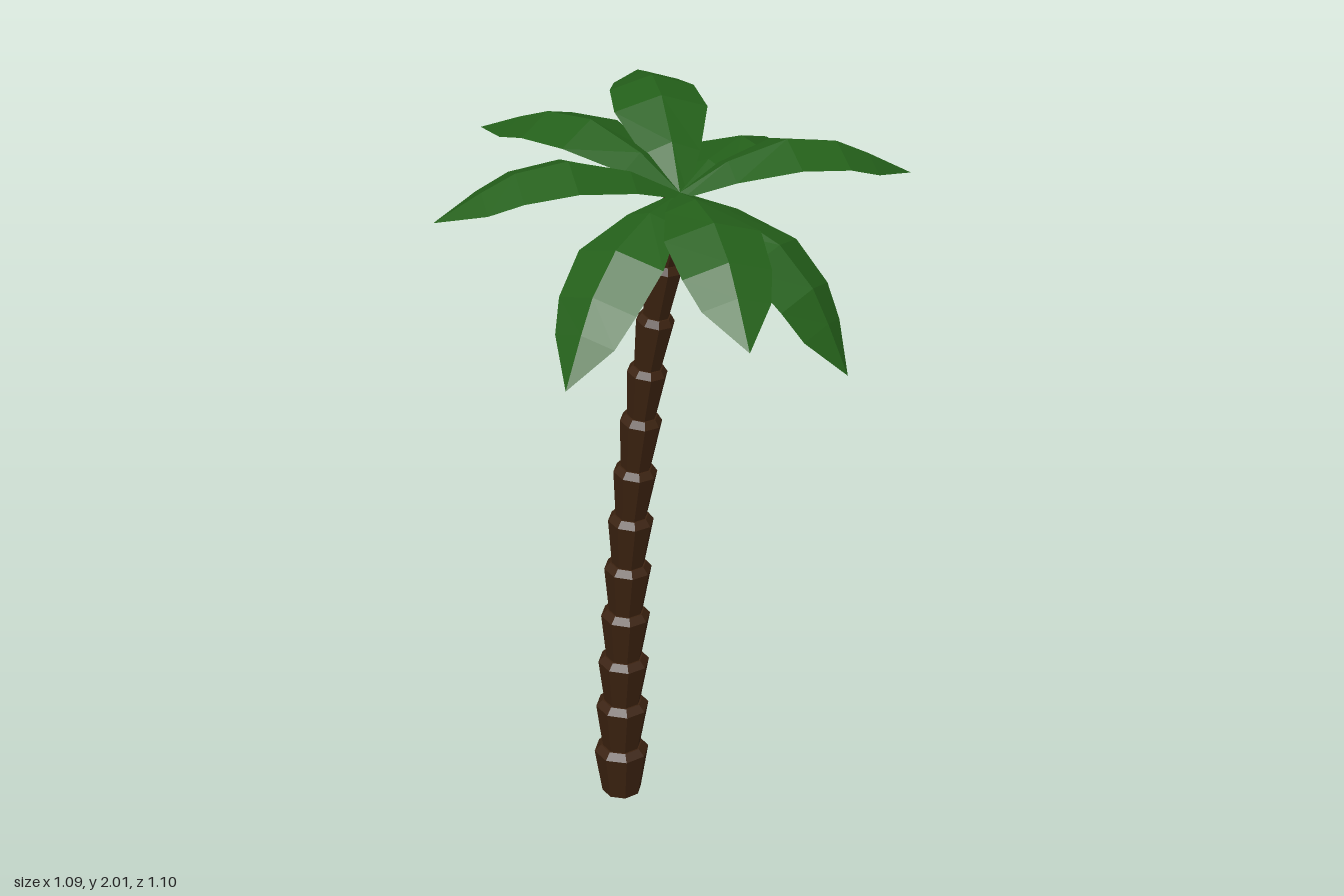
import * as THREE from 'three';

const bark = new THREE.MeshStandardMaterial({ color: 0x3b2210, flatShading: true });
const leaf = new THREE.MeshStandardMaterial({ color: 0x24601a, flatShading: true, side: THREE.DoubleSide });

// Centre line of the leaning trunk: x, y at each joint
const joints = [
  [-0.145, 0], [-0.144, 0.15], [-0.139, 0.3], [-0.133, 0.445], [-0.125, 0.595],
  [-0.116, 0.745], [-0.105, 0.895], [-0.089, 1.045], [-0.07, 1.2], [-0.05, 1.345],
  [-0.024, 1.495], [0.003, 1.645], [0.042, 1.82],
];
const TRUNK_Z = 0.032;

// One flared, eight-sided bark ring between two joints
function trunkRing(i) {
  const from = new THREE.Vector3(...joints[i], TRUNK_Z);
  const dir = new THREE.Vector3(...joints[i + 1], TRUNK_Z).sub(from);
  const h = dir.length();
  const r = 0.076 - 0.0029 * i;
  const profile = [[0, 0], [r * 0.72, 0], [r, h * 0.9], [r * 0.76, h * 1.02], [0, h * 1.02]];
  const ring = new THREE.Mesh(
    new THREE.LatheGeometry(profile.map(([x, y]) => new THREE.Vector2(x, y)), 8), bark);
  ring.name = 'trunkRing';
  ring.position.copy(from);
  ring.quaternion.setFromUnitVectors(new THREE.Vector3(0, 1, 0), dir.normalize());
  return ring;
}

// Arched frond along +x with a raised midrib: distance, height, half width, edge droop
function frondGeometry() {
  const stations = [
    [0, 0, 0.02, 0.01], [0.12, 0.07, 0.072, 0.03], [0.27, 0.115, 0.118, 0.04],
    [0.4, 0.1, 0.108, 0.037], [0.485, 0.062, 0.083, 0.028], [0.605, 0, 0, 0],
  ];
  const pos = [], index = [];
  stations.forEach(([u, v, w, d], i) => {
    pos.push(u, v - d, -w, u, v, 0, u, v - d, w);
    if (i === stations.length - 1) return;
    for (let j = 0; j < 2; j++) {
      const a = i * 3 + j;
      index.push(a, a + 1, a + 3, a + 1, a + 4, a + 3);
    }
  });
  const g = new THREE.BufferGeometry();
  g.setAttribute('position', new THREE.Float32BufferAttribute(pos, 3));
  g.setIndex(index);
  g.computeVertexNormals();
  return g;
}

export function createModel() {
  const model = new THREE.Group();
  model.name = 'palmTree';

  const trunk = new THREE.Group();
  trunk.name = 'trunk';
  for (let i = 0; i < joints.length - 1; i++) trunk.add(trunkRing(i));

  // Crown: heading and pitch of each frond, in degrees
  const crown = new THREE.Group();
  crown.name = 'crown';
  crown.position.set(0.046, 1.84, 0.032);
  const geometry = frondGeometry();
  const fronds = [
    [0, -37], [51, -2], [91, -12.5], [134, 10],
    [180, 4], [227, -2], [272, -32], [319, -15.5],
  ];
  for (const [heading, pitch] of fronds) {
    const frond = new THREE.Mesh(geometry, leaf);
    frond.name = 'frond';
    frond.rotation.set(0, THREE.MathUtils.degToRad(heading), THREE.MathUtils.degToRad(pitch), 'YZX');
    crown.add(frond);
  }

  model.add(trunk, crown);
  return model;
}
